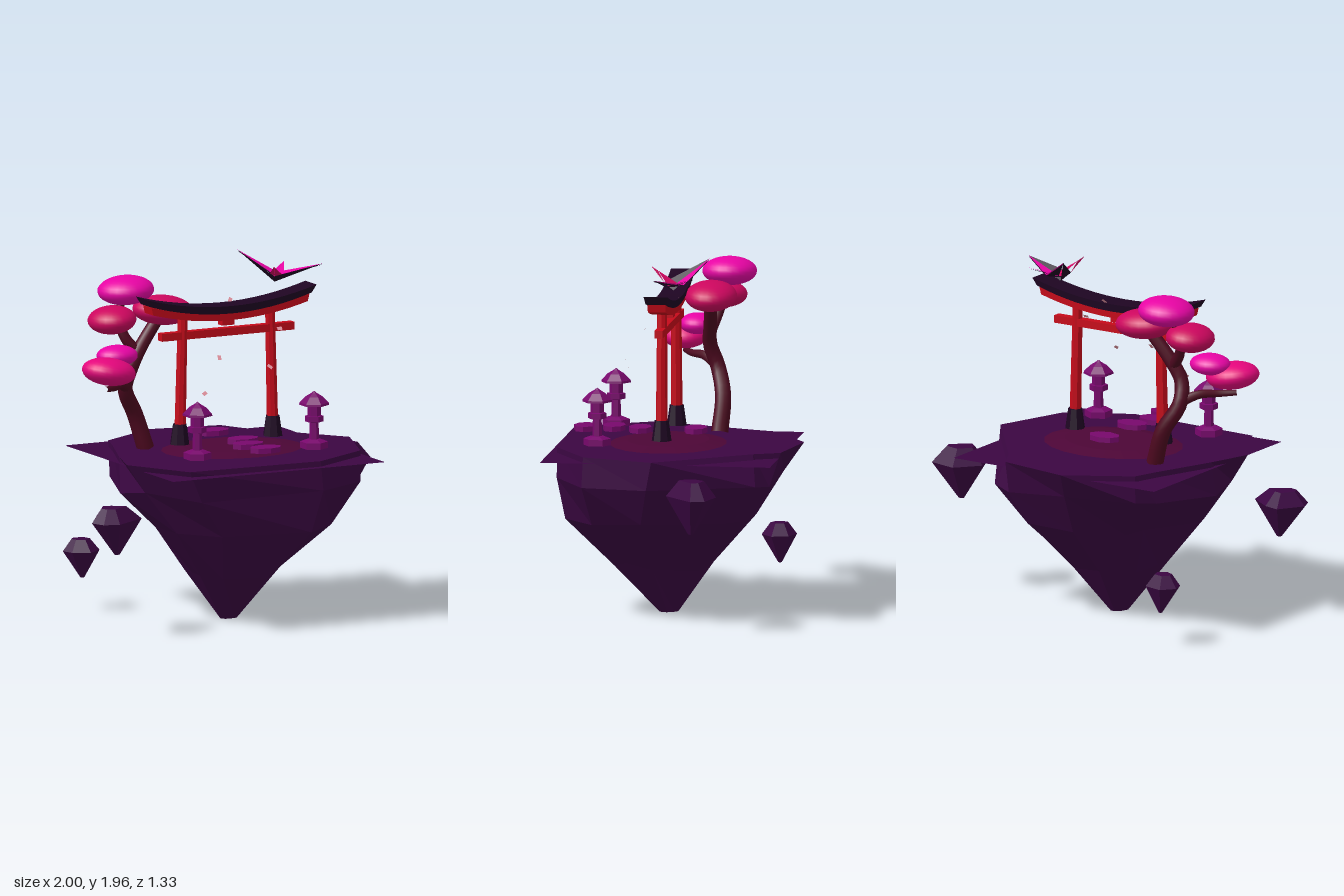
import * as THREE from 'three';

const mat = (name, color, extra = {}) => {
  const m = new THREE.MeshStandardMaterial({ color, ...extra });
  m.name = name;
  return m;
};

// Closed shell through rings of equal length, listed top to bottom
const shell = rings => {
  const n = rings[0].length, last = rings.length - 1, pos = rings.flat(), idx = [];
  for (const r of [rings[0], rings[last]])
    pos.push([0, 1, 2].map(k => r.reduce((s, p) => s + p[k], 0) / n));
  const top = pos.length - 2, bottom = top + 1;
  for (let i = 0; i < n; i++) {
    const j = (i + 1) % n;
    for (let r = 0; r < last; r++) {
      const a = r * n + i, b = r * n + j;
      idx.push(a, b, a + n, b, b + n, a + n);
    }
    idx.push(top, j, i, bottom, last * n + i, last * n + j);
  }
  const g = new THREE.BufferGeometry();
  g.setAttribute('position', new THREE.Float32BufferAttribute(pos.flat(), 3));
  g.setIndex(idx);
  g.computeVertexNormals();
  return g;
};

export function createModel() {
  const flat = { flatShading: true };
  const M = {
    rock: mat('plum rock', 0x3b0642, { flatShading: true, side: THREE.DoubleSide }),
    patch: mat('wine ground', 0x4c0636, flat),
    red: mat('gate red', 0xc60a1a, flat),
    black: mat('dark wood', 0x1e0522, { flatShading: true, side: THREE.DoubleSide }),
    bark: mat('bark', 0x4d081f),
    magenta: mat('magenta', 0xea04a6, { side: THREE.DoubleSide }),
    pink: mat('hot pink', 0xe4067c),
    rose: mat('deep rose', 0xcc065e, { side: THREE.DoubleSide }),
    stone: mat('purple stone', 0x78086c, flat),
    petal: mat('petal', 0xe494a0, { side: THREE.DoubleSide }),
  };
  const root = new THREE.Group();
  const add = (name, geo, material, x = 0, y = 0, z = 0, parent = root) => {
    const m = new THREE.Mesh(geo, material);
    m.name = name;
    m.position.set(x, y, z);
    parent.add(m);
    return m;
  };
  const group = (name, x = 0, y = 0, z = 0) => {
    const g = new THREE.Group();
    g.name = name;
    g.position.set(x, y, z);
    root.add(g);
    return g;
  };
  let seed = 7;
  const rand = () => (seed = (seed * 16807) % 2147483647) / 2147483647;
  const mix = THREE.MathUtils.mapLinear;

  // Island: an outline at five heights, fitted to shrinking extents and rounder below the rim
  const outline = [[-.11, -.67], [.29, -.6], [.36, -.46], [.74, .04], [.6, .43], [.26, .62],
    [-.52, .59], [-.72, .24], [-.64, .0], [-.5, -.35], [-.46, -.47]];
  const rows = [ // y, xMin, xMax, zMin, zMax
    [.92, -.72, .74, -.67, .62], [.75, -.66, .74, -.61, .63], [.535, -.46, .56, -.45, .58],
    [.27, -.26, .26, -.19, .34], [0, -.06, .04, 0, .1]];
  add('island', shell(rows.map(([y, x0, x1, z0, z1], r) => outline.map(([x, z]) => {
    const mid = r > 0 && r < 4;
    const u = mix(x, -.72, .74, -1, 1), v = mix(z, -.67, .62, -1, 1);
    const k = mid ? (.94 + .12 * rand()) * (.3 + .7 / Math.hypot(u, v)) : 1;
    const dy = mid ? (rand() - .5) * .05 : 0;
    return [(x0 + x1) / 2 + u * k * (x1 - x0) / 2, y + dy, (z0 + z1) / 2 + v * k * (z1 - z0) / 2];
  }))), M.rock);
  add('groundSheet', new THREE.PlaneGeometry(1.29, 1.25).rotateX(-Math.PI / 2), M.rock, -.015, .89, .035);
  add('groundPatch', new THREE.CylinderGeometry(.7, 1, .02, 20), M.patch, .02, .931, .05).scale.set(.4, 1, .315);

  // Floating rocks: top, widest and bottom heights, bottom point, widest outline
  [
    [.72, .645, .46, -.845, .36, [[-1, .37], [-.91, .235], [-.82, .26], [-.69, .355], [-.885, .475], [-.97, .45]]],
    [.84, .75, .55, .84, -.19, [[.7, -.2], [.81, -.325], [.97, -.285], [.998, -.21], [.8, -.05], [.73, -.11]]],
    [.4, .335, .185, -.62, -.465, [[-.73, -.48], [-.67, -.55], [-.56, -.52], [-.533, -.43], [-.62, -.365], [-.71, -.41]]],
  ].forEach(([top, wide, low, bx, bz, pts], i) => {
    const cx = pts.reduce((s, p) => s + p[0], 0) / 6, cz = pts.reduce((s, p) => s + p[1], 0) / 6;
    const ring = (y, k, x, z) => pts.map(p => [x + (p[0] - cx) * k, y, z + (p[1] - cz) * k]);
    add('floatingRock' + (i + 1),
      shell([ring(top, .5, cx, cz), ring(wide, 1, cx, cz), ring(low, .1, bx, bz)]), M.rock);
  });

  // Gate
  const gate = group('gate', -.015, 0, .05);
  const bentBeam = (w, h, d, y, inset) => {
    const g = new THREE.BoxGeometry(w, h, d, 16), p = g.attributes.position;
    for (let i = 0; i < p.count; i++) {
      const x = p.getX(i);
      if (p.getY(i) < 0) {
        p.setX(i, x * (1 - inset));
        p.setZ(i, p.getZ(i) * (1 - 2 * inset));
      }
      p.setY(i, p.getY(i) + y + .28 * x * x);
    }
    return g;
  };
  add('topBeam', bentBeam(1.03, .042, .13, 1.69, .05), M.black, 0, 0, 0, gate);
  add('upperBeam', bentBeam(.96, .042, .1, 1.652, .02), M.red, 0, 0, 0, gate);
  add('lowerBeam', new THREE.BoxGeometry(.805, .042, .045), M.red, 0, 1.563, 0, gate);
  add('centreBlock', new THREE.BoxGeometry(.075, .06, .05), M.red, 0, 1.63, 0, gate);
  for (const s of [-1, 1]) {
    const post = add('pillar', new THREE.CylinderGeometry(.027, .032, .64, 8), M.red, s * .273, 1.36, 0, gate);
    post.rotation.z = s * .025;
    add('pillarFoot', new THREE.CylinderGeometry(.038, .054, .11, 8), M.black, s * .283, 1.025, 0, gate);
  }

  // Stone lanterns
  const lanternGeo = new THREE.LatheGeometry([[0, .95], [.075, .95], [.075, .985], [.042, .998], [.027, 1.0],
    [.024, 1.09], [.05, 1.095], [.05, 1.125], [.036, 1.127], [.036, 1.185], [.081, 1.185], [.079, 1.197],
    [.045, 1.232], [.015, 1.25], [0, 1.262]].map(p => new THREE.Vector2(...p)), 6);
  for (const x of [-.37, .34]) add('lantern', lanternGeo, M.stone, x, 0, .39);

  // Stepping stones
  const stepGeo = new THREE.CylinderGeometry(1, 1, .028, 8);
  [[-.016, -.095], [.003, .205], [-.043, .353], [-.016, .505]].forEach(([x, z]) =>
    add('steppingStone', stepGeo, M.stone, x, .99, z).scale.set(.092, 1, .062));

  // Tree: tapered tubes and flattened leaf clouds
  const tree = group('tree');
  const limb = (name, pts, r0, r1) => {
    const curve = new THREE.CatmullRomCurve3(pts.map(p => new THREE.Vector3(...p)));
    const g = new THREE.TubeGeometry(curve, 20, 1, 10), p = g.attributes.position, v = new THREE.Vector3();
    for (let i = 0; i < p.count; i++) {
      const t = Math.floor(i / 11) / 20, c = curve.getPointAt(t);
      v.fromBufferAttribute(p, i).sub(c).multiplyScalar(r0 + (r1 - r0) * t).add(c);
      p.setXYZ(i, v.x, v.y, v.z);
    }
    add(name, g, M.bark, 0, 0, 0, tree);
  };
  limb('trunk', [[-.39, .92, -.17], [-.45, 1.11, -.18], [-.53, 1.26, -.14], [-.515, 1.38, -.1],
    [-.45, 1.49, -.11], [-.34, 1.63, -.13]], .047, .034);
  limb('sideBranch', [[-.53, 1.27, -.13], [-.6, 1.305, -.06], [-.68, 1.305, .02], [-.76, 1.31, .07]], .03, .015);
  limb('upperBranch', [[-.47, 1.46, -.11], [-.53, 1.54, -.14], [-.55, 1.63, -.17], [-.52, 1.76, -.2]], .032, .02);
  const ball = new THREE.SphereGeometry(1, 24, 16);
  [ // centre, radii, tilt, colour
    [-.49, 1.787, -.21, .155, .078, .148, .05, 'magenta'],
    [-.305, 1.675, -.135, .17, .08, .14, -.08, 'rose'],
    [-.605, 1.643, -.15, .13, .075, .14, .08, 'rose'],
    [-.645, 1.472, -.015, .115, .057, .1, 0, 'magenta'],
    [-.737, 1.405, .065, .15, .075, .133, -.15, 'pink'],
  ].forEach(([x, y, z, a, b, c, tilt, col]) => {
    const leaf = add('leafCloud', ball, M[col], x, y, z, tree);
    leaf.scale.set(a, b, c);
    leaf.rotation.z = tilt;
  });

  // Folded paper bird: coloured upper faces over a dark underside
  const bird = group('paperBird');
  const facet = (name, material, ...tri) => {
    const g = new THREE.BufferGeometry();
    g.setAttribute('position', new THREE.Float32BufferAttribute(tri.flat(), 3));
    g.computeVertexNormals();
    add(name, g, material, 0, 0, 0, bird);
    if (material === M.magenta) add(name + 'Underside', g, M.black, 0, -.006, 0, bird);
  };
  const keel = [.315, 1.795, -.02], front = [.285, 1.835, .035], back = [.365, 1.835, -.085];
  const ridge = [.325, 1.825, -.025], side1 = [.295, 1.83, -.045], side2 = [.36, 1.825, 0];
  const head = [.245, 1.915, .11], neck = [.265, 1.895, .07], tail = [.44, 1.88, -.145];
  const wingA = [.18, 1.955, -.2], wingB = [.57, 1.885, .055];
  facet('wing', M.magenta, wingA, ridge, back);
  facet('wing', M.black, wingA, keel, front);
  facet('wing', M.magenta, wingB, back, ridge);
  facet('wing', M.black, wingB, front, keel);
  for (const s of [side1, side2]) {
    facet('body', M.magenta, ridge, front, s);
    facet('body', M.magenta, ridge, s, back);
    facet('tail', M.magenta, tail, s, ridge);
    facet('neck', M.rose, neck, s, ridge);
  }
  facet('head', M.rose, head, neck, front);

  // Drifting petals
  const petalGeo = new THREE.PlaneGeometry(.03, .02);
  [[-.28, 1.285, .305], [-.13, 1.45, .19], [.14, 1.39, .26], [.26, 1.57, .145], [.04, 1.72, -.01]]
    .forEach(([x, y, z], i) => add('petal', petalGeo, M.petal, x, y, z).rotation.set(-.7, 0, .9 * i + .5));

  return root;
}
